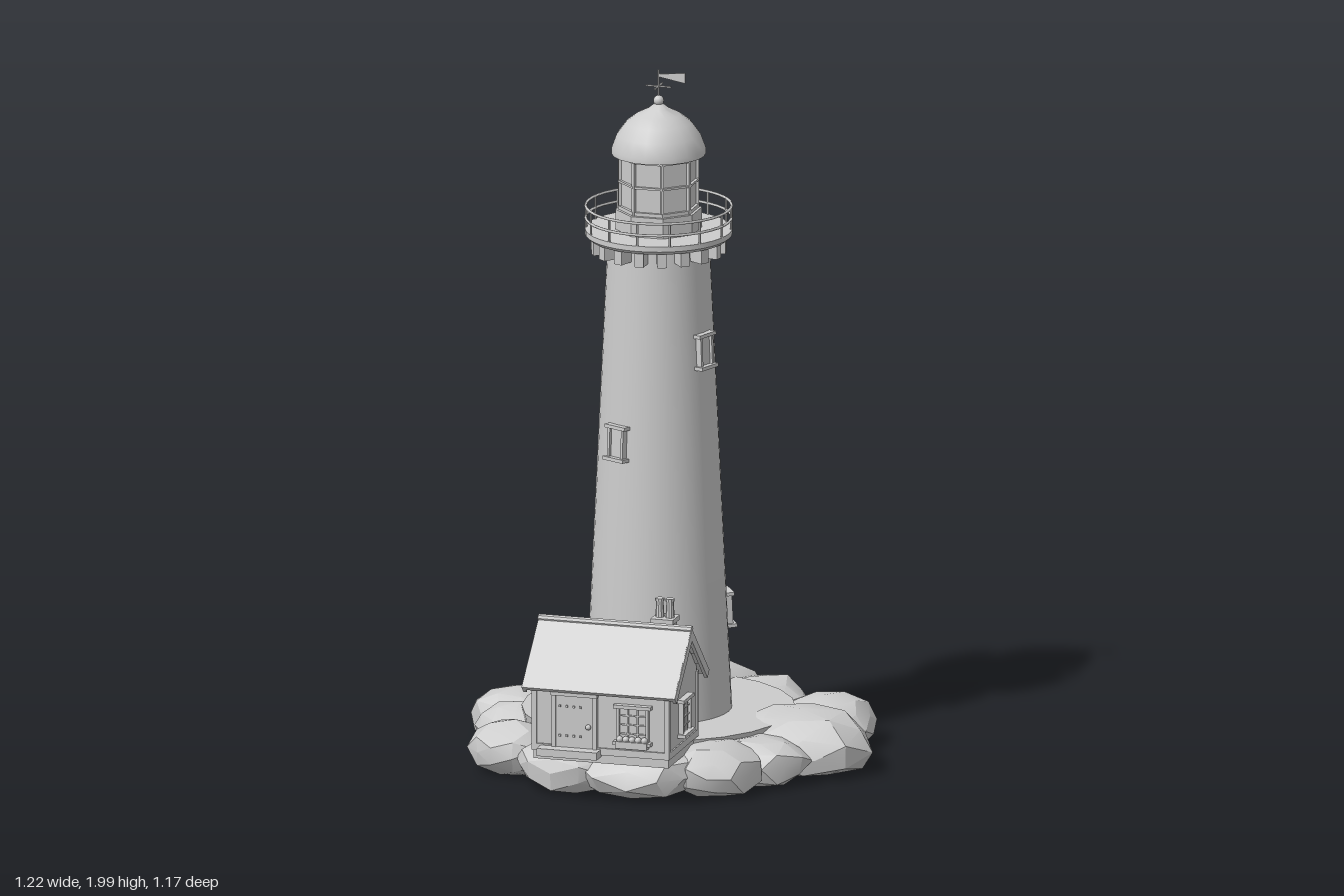
import * as THREE from 'three';
import { toCreasedNormals } from 'three/addons/utils/BufferGeometryUtils.js';

const stone = new THREE.MeshStandardMaterial({ color: 0xcccccc, side: THREE.DoubleSide });
stone.name = 'pale grey';

function add(parent, name, geometry, x = 0, y = 0, z = 0) {
  const mesh = new THREE.Mesh(geometry, stone);
  mesh.name = name;
  mesh.position.set(x, y, z);
  parent.add(mesh);
  return mesh;
}
const box = (parent, name, w, h, d, x, y, z) => add(parent, name, new THREE.BoxGeometry(w, h, d), x, y, z);
const cyl = (parent, name, rTop, rBot, h, seg, x, y, z) =>
  add(parent, name, toCreasedNormals(new THREE.CylinderGeometry(rTop, rBot, h, seg), 0.6), x, y, z);
const lathe = (parent, name, pts, seg, crease = 0.6) =>
  add(parent, name, toCreasedNormals(new THREE.LatheGeometry(pts.map(p => new THREE.Vector2(...p)), seg), crease));

function group(parent, name, x = 0, y = 0, z = 0) {
  const g = new THREE.Group();
  g.name = name;
  g.position.set(x, y, z);
  parent.add(g);
  return g;
}

// Places n copies of a part around the y axis
function ring(parent, name, n, build, offset = 0) {
  for (let i = 0; i < n; i++) {
    const g = group(parent, name);
    g.rotation.y = offset + (i / n) * Math.PI * 2;
    build(g);
  }
}

function seeded(seed) {
  return () => {
    seed = (seed * 16807) % 2147483647;
    return seed / 2147483647;
  };
}

// Flattened, faceted boulder with a flat underside
function boulder(parent, [x, z, rx, rz, top], seed) {
  const rnd = seeded(seed * 7919 + 11);
  const geo = new THREE.IcosahedronGeometry(1, 1);
  const pos = geo.attributes.position;
  const spin = rnd() * 6;
  const dents = new Map();
  const v = new THREE.Vector3();
  for (let i = 0; i < pos.count; i++) {
    v.fromBufferAttribute(pos, i);
    const key = v.toArray().map(c => Math.round(c * 100)).join();
    if (!dents.has(key)) dents.set(key, 0.9 + rnd() * 0.17);
    v.multiplyScalar(dents.get(key)).applyAxisAngle(THREE.Object3D.DEFAULT_UP, spin);
    const h = v.y > 0 ? 0.075 + v.y * (top - 0.075) : Math.max(0.012, 0.075 + v.y * 0.09);
    pos.setXYZ(i, v.x * rx, h, v.z * rz);
  }
  add(parent, 'boulder', toCreasedNormals(geo, 0.42), x, 0, z);
}

function rocks(parent) {
  const g = group(parent, 'rockyIsland');
  // x, z, half width, half depth, top height
  [
    [-0.03, -0.42, 0.2, 0.175, 0.185], [0.16, -0.4, 0.15, 0.135, 0.16],
    [0.39, -0.26, 0.15, 0.14, 0.16], [0.4, 0, 0.205, 0.18, 0.19],
    [0.33, 0.18, 0.145, 0.115, 0.15], [0.24, 0.31, 0.135, 0.14, 0.16],
    [0.04, 0.38, 0.19, 0.14, 0.155], [-0.16, 0.38, 0.16, 0.13, 0.15],
    [-0.36, 0.26, 0.135, 0.125, 0.155], [-0.41, 0.05, 0.125, 0.105, 0.15],
    [-0.47, -0.12, 0.14, 0.12, 0.15], [-0.32, -0.31, 0.18, 0.16, 0.18],
  ].forEach((r, i) => boulder(g, r, i + 1));
  cyl(g, 'levelGround', 0.385, 0.36, 0.132, 24, -0.025, 0.086, -0.02);
}

function windowUnit(parent, w, h) {
  box(parent, 'windowPane', w, h, 0.008, 0, 0, 0.002);
  for (const s of [-1, 1]) box(parent, 'windowJamb', 0.008, h, 0.02, s * w / 2, 0, 0.004);
  box(parent, 'windowLintel', w + 0.025, 0.01, 0.026, 0, h / 2, 0.006);
  box(parent, 'windowSill', w + 0.025, 0.01, 0.03, 0, -h / 2, 0.008);
}

function glazingBars(parent, w, h) {
  for (const s of [-1, 1]) box(parent, 'glazingBar', 0.004, h, 0.01, s * w / 6, 0, 0.005);
  for (const s of [-1, 0, 1]) box(parent, 'glazingBar', w, 0.004, 0.01, 0, s * h / 4, 0.005);
}

function tower(parent) {
  const t = group(parent, 'tower', -0.025, 0, -0.02);
  const radius = y => 0.206 - (y - 0.15) * 0.046;
  lathe(t, 'towerShaft', [[0, 0.1], [0.207, 0.1], [radius(0.15), 0.15], [radius(1.52), 1.52], [0, 1.52]], 40);

  // Windows climbing round the shaft
  [[122, 0.425], [236, 0.69], [335, 0.95], [70, 1.21]].forEach(([deg, y]) => {
    const turn = group(t, 'towerWindow');
    turn.rotation.y = THREE.MathUtils.degToRad(deg);
    const w = group(turn, 'towerWindowFrame', 0, y, radius(y));
    w.rotation.x = -0.046;
    windowUnit(w, 0.05, 0.092);
  });

  // Arched doorway with a step
  const arch = new THREE.Shape();
  arch.moveTo(-0.06, 0.15);
  arch.lineTo(0.06, 0.15);
  arch.lineTo(0.06, 0.29);
  arch.absarc(0, 0.29, 0.06, 0, Math.PI);
  const hole = new THREE.Path();
  hole.moveTo(-0.045, 0.15);
  hole.lineTo(-0.045, 0.29);
  hole.absarc(0, 0.29, 0.045, Math.PI, 0, true);
  hole.lineTo(0.045, 0.15);
  arch.holes.push(hole);
  add(t, 'doorSurround', new THREE.ExtrudeGeometry(arch, { depth: 0.04, bevelEnabled: false }), 0, 0, 0.18);
  box(t, 'towerDoor', 0.09, 0.16, 0.02, 0, 0.23, 0.192);
  box(t, 'towerStep', 0.17, 0.025, 0.07, 0, 0.16, 0.22);

  // Gallery with corbels and railing
  ring(t, 'corbel', 18, g => {
    box(g, 'corbelBlock', 0.026, 0.046, 0.055, 0, 1.497, 0.163);
  });
  lathe(t, 'galleryDeck', [[0, 1.515], [0.196, 1.515], [0.207, 1.525], [0.207, 1.54], [0, 1.54]], 40);
  ring(t, 'railPost', 14, g => cyl(g, 'post', 0.0035, 0.0035, 0.07, 6, 0, 1.572, 0.204));
  for (const y of [1.572, 1.606]) {
    add(t, 'handrail', new THREE.TorusGeometry(0.205, 0.004, 6, 40), 0, y).rotation.x = Math.PI / 2;
  }

  // Eight sided lantern room
  const eighth = Math.PI / 8;
  cyl(t, 'lanternBase', 0.122, 0.122, 0.06, 8, 0, 1.568, 0).rotation.y = eighth;
  cyl(t, 'lanternGlass', 0.106, 0.106, 0.17, 8, 0, 1.68, 0).rotation.y = eighth;
  ring(t, 'mullion', 8, g => box(g, 'mullionBar', 0.009, 0.17, 0.009, 0, 1.68, 0.109), eighth);
  for (const [y, h] of [[1.604, 0.01], [1.68, 0.006], [1.755, 0.012]]) {
    cyl(t, 'lanternBand', 0.115, 0.115, h, 8, 0, y, 0).rotation.y = eighth;
  }

  // Dome, finial and weather vane
  lathe(t, 'dome', [[0, 1.758], [0.133, 1.758], [0.133, 1.773], [0.118, 1.814], [0.093, 1.848],
    [0.062, 1.872], [0.03, 1.888], [0.012, 1.902], [0, 1.904]], 20, 0.8);
  add(t, 'finialBall', new THREE.SphereGeometry(0.015, 14, 10), 0, 1.911);
  cyl(t, 'vaneRod', 0.003, 0.003, 0.09, 6, 0, 1.955, 0);
  box(t, 'compassArm', 0.075, 0.004, 0.004, 0, 1.952, 0);
  box(t, 'compassArm', 0.004, 0.004, 0.075, 0, 1.952, 0);
  const flag = new THREE.Shape([[0, 1.98], [0.078, 1.966], [0.078, 1.996], [0, 1.988]].map(p => new THREE.Vector2(...p)));
  add(t, 'vaneFlag', new THREE.ExtrudeGeometry(flag, { depth: 0.004, bevelEnabled: false }), 0, 0, -0.002);
}

function cottage(parent) {
  const c = group(parent, 'cottage', -0.022, 0, 0.405);

  // Gabled walls, profile drawn in z and y
  const gable = new THREE.Shape([[-0.132, 0.13], [0.14, 0.13], [0.14, 0.352], [0, 0.488], [-0.132, 0.36]]
    .map(p => new THREE.Vector2(...p)));
  const walls = new THREE.ExtrudeGeometry(gable, { depth: 0.396, bevelEnabled: false });
  add(c, 'walls', walls.rotateY(-Math.PI / 2), 0.198);
  box(c, 'plinth', 0.404, 0.02, 0.284, 0, 0.165, 0.004);
  for (const x of [-1, 1]) for (const z of [-0.13, 0.138]) {
    box(c, 'cornerBoard', 0.014, 0.19, 0.014, x * 0.195, 0.25, z);
  }

  // Overlapping roof boards on both slopes
  for (const s of [-1, 1]) {
    const slope = group(c, 'roofSlope', 0, 0.502, 0);
    slope.rotation.x = s * 0.77;
    for (let i = 0; i < 4; i++) {
      box(slope, 'roofBoard', 0.446, 0.014, 0.062, 0, -0.006, s * (0.03 + i * 0.057)).rotation.x = s * 0.05;
    }
    for (const x of [-1, 1]) box(slope, 'bargeBoard', 0.01, 0.026, 0.232, x * 0.22, -0.013, s * 0.116);
  }
  cyl(c, 'ridgeCap', 0.011, 0.011, 0.45, 8, 0, 0.5, 0).rotation.z = Math.PI / 2;

  // Chimney with two pots
  box(c, 'chimneyStack', 0.054, 0.12, 0.054, 0.13, 0.45, -0.05);
  box(c, 'chimneyCap', 0.066, 0.014, 0.066, 0.13, 0.51, -0.05);
  for (const x of [0.115, 0.145]) {
    cyl(c, 'chimneyPot', 0.01, 0.013, 0.05, 10, x, 0.54, -0.05);
    cyl(c, 'potRim', 0.013, 0.013, 0.008, 10, x, 0.567, -0.05);
  }

  // Front door with studs, knob and step
  const d = group(c, 'frontDoor', -0.075, 0.245, 0.142);
  box(d, 'doorPanel', 0.11, 0.15, 0.012, 0, 0, 0);
  for (const x of [-0.06, 0.06]) box(d, 'doorJamb', 0.012, 0.16, 0.022, x, 0, 0);
  box(d, 'doorLintel', 0.136, 0.012, 0.026, 0, 0.082, 0.002);
  for (const y of [-0.04, 0.045]) for (let i = 0; i < 4; i++) {
    box(d, 'doorStud', 0.006, 0.006, 0.006, -0.042 + i * 0.02, y, 0.008);
  }
  add(d, 'doorKnob', new THREE.SphereGeometry(0.008, 10, 8), 0.042, -0.01, 0.012);
  box(c, 'doorStep', 0.176, 0.022, 0.06, -0.087, 0.16, 0.155);

  // Front window with a flower box
  const f = group(c, 'frontWindow', 0.096, 0.25, 0.14);
  windowUnit(f, 0.085, 0.105);
  glazingBars(f, 0.085, 0.105);
  box(f, 'flowerBox', 0.092, 0.02, 0.026, 0, -0.056, 0.014);
  for (let i = 0; i < 5; i++) {
    add(f, 'flower', new THREE.IcosahedronGeometry(0.01, 1), -0.036 + i * 0.018, -0.041, 0.016);
  }

  // Gable windows
  for (const s of [-1, 1]) {
    const g = group(c, 'gableWindow', s * 0.198, 0.25, 0.002);
    g.rotation.y = s * Math.PI / 2;
    windowUnit(g, 0.072, 0.1);
    glazingBars(g, 0.072, 0.1);
  }
}

export function createModel() {
  const model = new THREE.Group();
  model.name = 'lighthouse';
  rocks(model);
  tower(model);
  cottage(model);
  return model;
}
